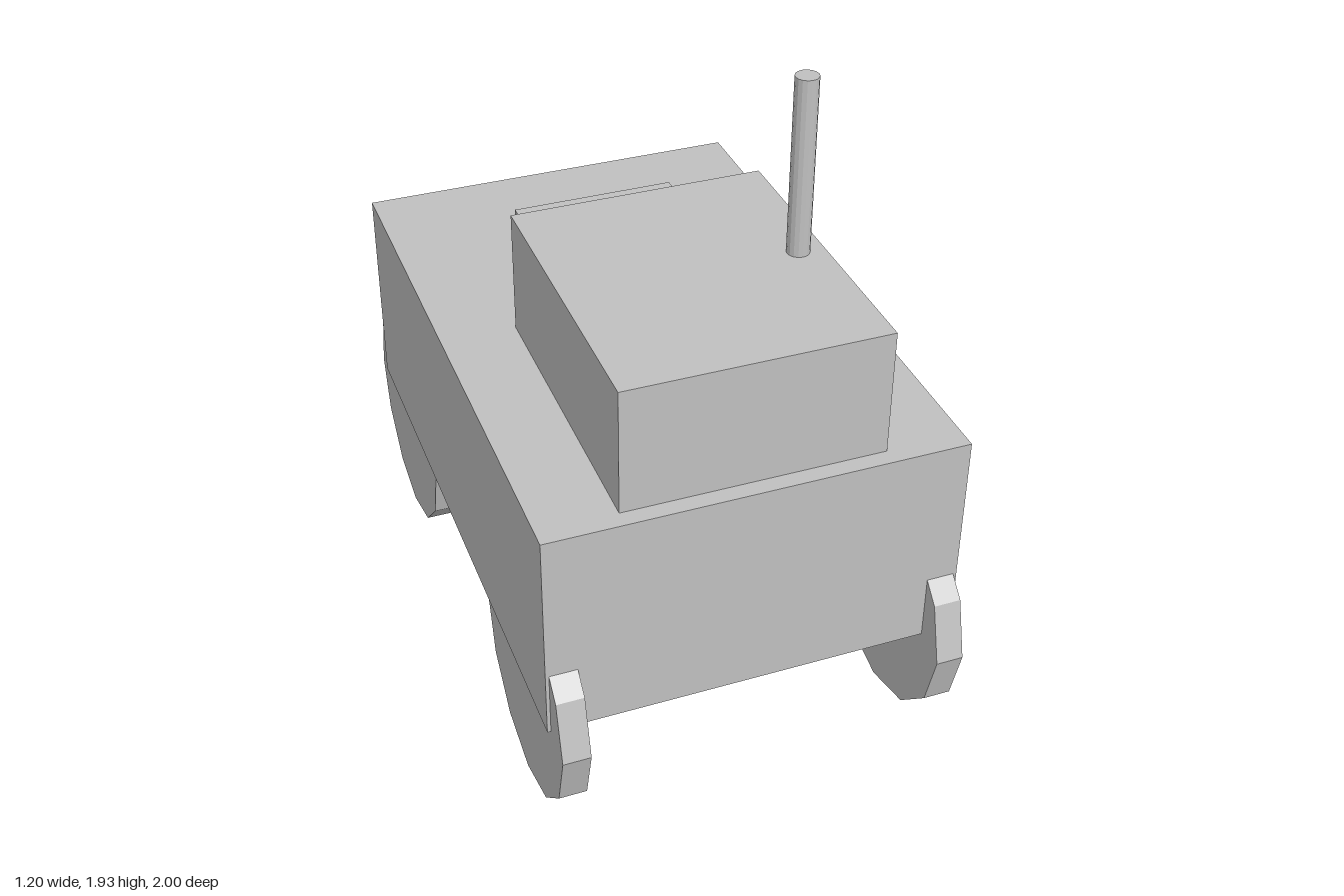
import * as THREE from 'three';

export function createModel() {
  const model = new THREE.Group();
  model.name = 'boxyVehicle';
  const grey = new THREE.MeshStandardMaterial({ color: 0xc0c0c0, flatShading: true });
  grey.name = 'lightGrey';

  const add = (name, geometry, x, y, z) => {
    const mesh = new THREE.Mesh(geometry, grey);
    mesh.name = name;
    mesh.position.set(x, y, z);
    model.add(mesh);
    return mesh;
  };
  // box standing on height y
  const box = (name, w, h, d, y, z) => add(name, new THREE.BoxGeometry(w, h, d), 0, y + h / 2, z);

  // stacked hull
  box('body', 1.2, 0.65, 1.8, 0.38, 0);
  box('cabin', 0.75, 0.375, 0.9, 1.03, 0.4);
  box('rearHousing', 0.5, 0.15, 0.4, 1.03, -0.25);

  // mast on the cabin roof
  add('mast', new THREE.CylinderGeometry(0.033, 0.033, 0.525, 16), 0.3, 1.6675, 0.4);

  // four twelve-sided disc wheels, partly sunk in the body
  const wheel = new THREE.CylinderGeometry(0.35, 0.35, 0.08, 12).rotateZ(Math.PI / 2);
  for (const [side, x] of [['Left', 0.55], ['Right', -0.55]]) {
    for (const [end, z] of [['front', 0.65], ['rear', -0.65]]) {
      add(`${end}${side}Wheel`, wheel, x, 0.352, z);
    }
  }
  return model;
}
